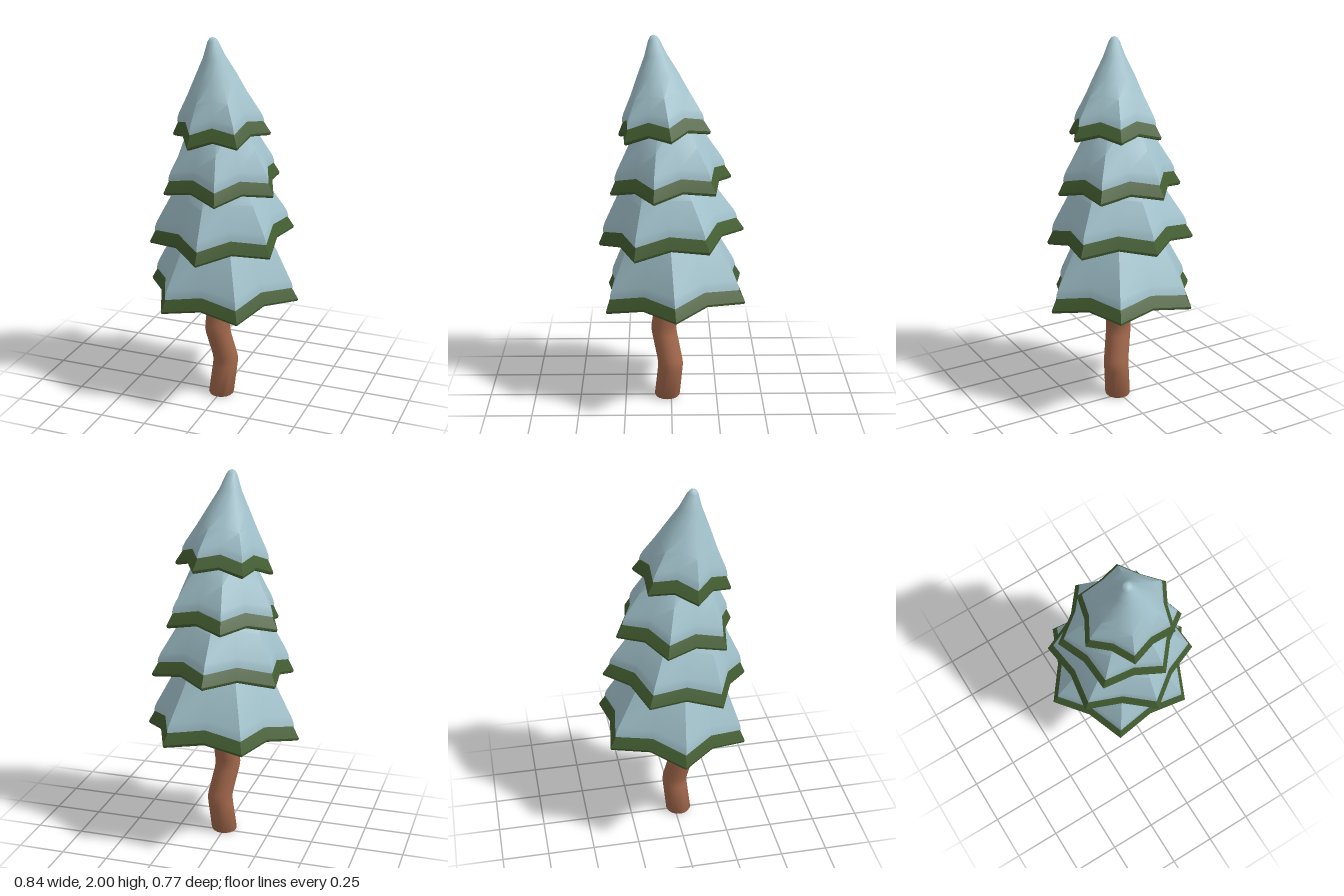
import * as THREE from 'three';
import { toCreasedNormals } from 'three/addons/utils/BufferGeometryUtils.js';

const snow = new THREE.MeshStandardMaterial({ color: 0xa3c3cd });
snow.name = 'snow';
const needles = new THREE.MeshStandardMaterial({ color: 0x425c30 });
needles.name = 'needle green';
const bark = new THREE.MeshStandardMaterial({ color: 0xa4694c });
bark.name = 'bark brown';

// Skin a stack of rings; ringPoint(row, i) gives the i-th corner of a ring
function loft(rows, sides, ringPoint) {
  const pos = [], idx = [];
  rows.forEach((row) => {
    for (let i = 0; i < sides; i++) pos.push(...ringPoint(row, i));
  });
  for (let j = 0; j < rows.length - 1; j++) {
    for (let i = 0; i < sides; i++) {
      const a = j * sides + i, b = j * sides + (i + 1) % sides;
      idx.push(a, a + sides, b, b, a + sides, b + sides);
    }
  }
  const g = new THREE.BufferGeometry();
  g.setAttribute('position', new THREE.Float32BufferAttribute(pos, 3));
  g.setIndex(idx);
  g.computeVertexNormals();
  return g;
}

// Six-pointed star ring: row = [radius, height, star strength 0..1]
function starPoint([r, h, s], i) {
  const notch = i % 2;
  const a = (i / 12) * Math.PI * 2;
  const rr = r * (1 - 0.2 * s * notch);
  return [rr * Math.cos(a), h + 0.03 * s * notch, rr * Math.sin(a)];
}

function makeTier(name, { R, H, at, turn, tiltX, tiltZ }) {
  const tier = new THREE.Group();
  tier.name = name;
  const star = new THREE.Group();
  star.rotation.y = -THREE.MathUtils.degToRad(turn);

  // Hollow underside, rim and outer band of needles
  const greenRows = [
    [0.01, H - 0.1, 0], [R - 0.045, 0.02, 1], [R - 0.015, -0.007, 1],
    [R - 0.003, -0.003, 1], [R, 0.008, 1], [R - 0.034, 0.07, 1], [R - 0.055, 0.1, 1],
  ];
  const skirt = new THREE.Mesh(toCreasedNormals(loft(greenRows, 12, starPoint), 0.6), needles);
  skirt.name = 'needleSkirt';

  // Snow cap with a small lip, fading from star to round
  const E = R - 0.045;
  const up = (t) => 0.12 + (H - 0.12) * t;
  const snowRows = [
    [R - 0.05, 0.072, 1], [R - 0.029, 0.07, 1], [R - 0.034, 0.095, 1], [E, 0.12, 0.95],
    [E * 0.76, up(0.23), 0.6], [E * 0.54, up(0.46), 0.3], [E * 0.28, up(0.73), 0.1],
    [0.028, H - 0.024, 0], [0.016, H - 0.006, 0], [0.0005, H, 0],
  ];
  const cap = new THREE.Mesh(toCreasedNormals(loft(snowRows, 12, starPoint), 0.7), snow);
  cap.name = 'snowCap';

  star.add(skirt, cap);
  tier.add(star);
  tier.position.set(...at);
  tier.rotation.set(tiltX, 0, tiltZ);
  return tier;
}

function makeTrunk() {
  // Crooked trunk: [x, y, z, radius]; first and last rows close the ends
  const rows = [
    [0.002, 0, 0.022, 0.0005], [0.002, 0, 0.022, 0.064], [0.003, 0.008, 0.022, 0.069],
    [0.019, 0.17, 0.006, 0.068], [0.022, 0.2, 0.004, 0.068], [0.019, 0.23, 0.008, 0.068],
    [-0.009, 0.37, 0.037, 0.068], [-0.012, 0.4, 0.041, 0.068], [-0.011, 0.43, 0.038, 0.068],
    [0, 0.62, 0.01, 0.067], [0, 0.85, 0, 0.06], [0, 0.85, 0, 0.0005],
  ];
  const g = loft(rows, 16, ([x, y, z, r], i) => {
    const a = (i / 16) * Math.PI * 2;
    return [x + r * Math.cos(a), y, z + r * Math.sin(a)];
  });
  const trunk = new THREE.Mesh(toCreasedNormals(g, 0.8), bark);
  trunk.name = 'trunk';
  return trunk;
}

export function createModel() {
  const tree = new THREE.Group();
  tree.name = 'snowyPineTree';
  tree.add(
    makeTrunk(),
    makeTier('bottomTier', { R: 0.422, H: 0.85, at: [0, 0.603, -0.02], turn: 0, tiltX: 0.075, tiltZ: 0 }),
    makeTier('lowerMiddleTier', { R: 0.387, H: 0.72, at: [0, 0.925, 0], turn: 30, tiltX: 0.11, tiltZ: 0 }),
    makeTier('upperMiddleTier', { R: 0.328, H: 0.62, at: [0, 1.21, 0], turn: 16.5, tiltX: 0.08, tiltZ: 0 }),
    makeTier('topTier', { R: 0.258, H: 0.513, at: [0.01, 1.49, 0.038], turn: -8.5, tiltX: 0.105, tiltZ: 0.055 }),
  );
  return tree;
}
